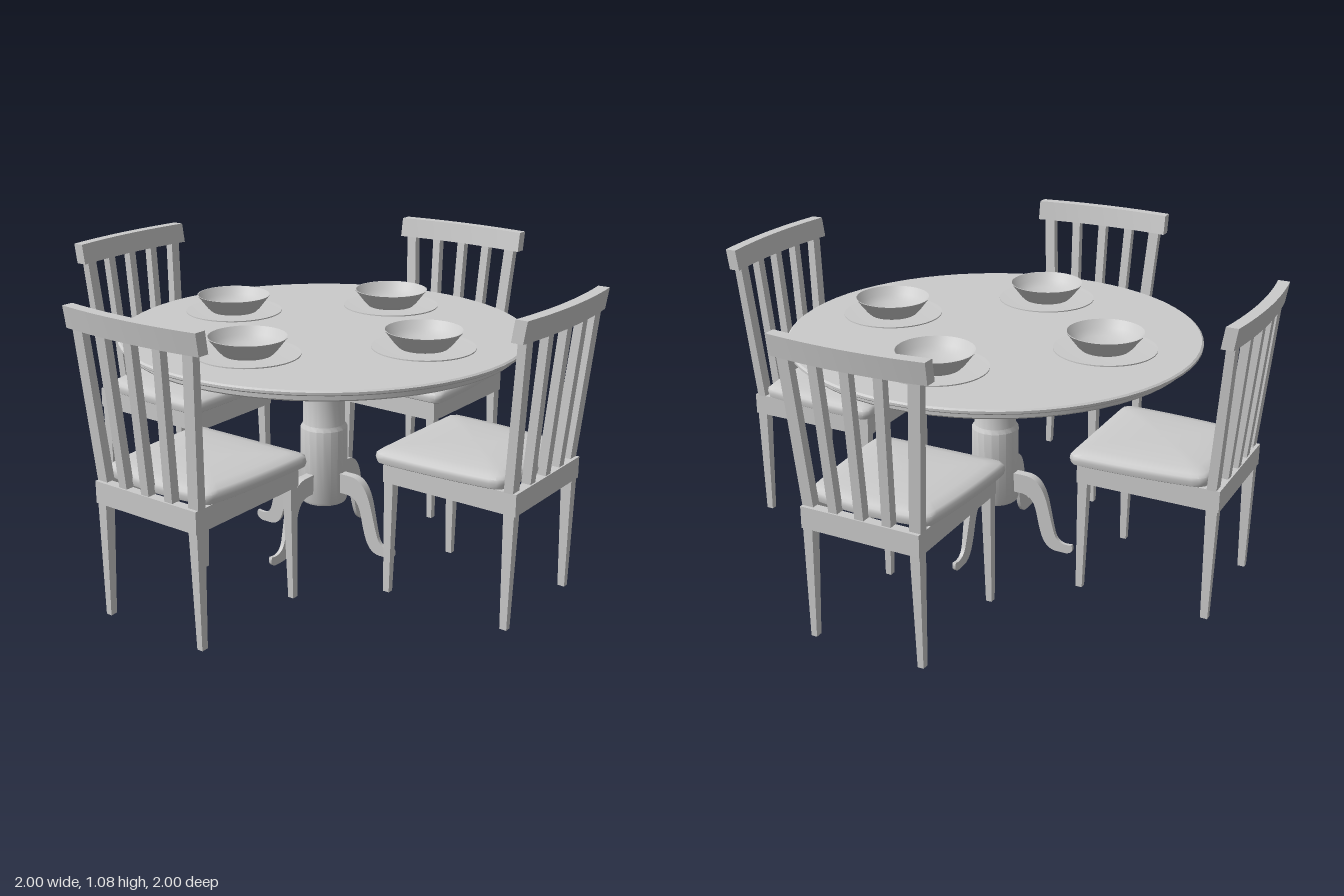
import * as THREE from 'three';
import { toCreasedNormals } from 'three/addons/utils/BufferGeometryUtils.js';

const material = new THREE.MeshStandardMaterial({ color: 0xcccccc });

function add(parent, name, geometry, x = 0, y = 0, z = 0) {
  const mesh = new THREE.Mesh(geometry, material);
  mesh.name = name;
  mesh.position.set(x, y, z);
  parent.add(mesh);
  return mesh;
}

function box(parent, name, w, h, d, x, y, z) {
  return add(parent, name, new THREE.BoxGeometry(w, h, d), x, y, z);
}

// Leaning, tapering bar between two centres; sizes are [width, depth].
function bar(parent, name, from, to, sizeFrom, sizeTo) {
  const geo = new THREE.BoxGeometry(1, 1, 1);
  const p = geo.attributes.position;
  for (let i = 0; i < p.count; i++) {
    const top = p.getY(i) > 0;
    const c = top ? to : from;
    const s = top ? sizeTo : sizeFrom;
    p.setXYZ(i, c[0] + p.getX(i) * s[0], c[1], c[2] + p.getZ(i) * s[1]);
  }
  geo.computeVertexNormals();
  return add(parent, name, geo);
}

function turned(profile, segments) {
  const points = profile.map(([r, y]) => new THREE.Vector2(r, y));
  return toCreasedNormals(new THREE.LatheGeometry(points, segments), 0.6);
}

// Padded seat: one outline stacked at several levels and scales.
function cushionGeometry() {
  const shape = new THREE.Shape();
  shape.moveTo(0, 0.404);
  shape.lineTo(0.225, 0.404);
  shape.quadraticCurveTo(0.256, 0.404, 0.256, 0.44);
  shape.quadraticCurveTo(0.255, 0.68, 0.229, 0.86);
  shape.quadraticCurveTo(0.226, 0.886, 0.2, 0.889);
  shape.quadraticCurveTo(0, 0.925, -0.2, 0.889);
  shape.quadraticCurveTo(-0.226, 0.886, -0.229, 0.86);
  shape.quadraticCurveTo(-0.255, 0.68, -0.256, 0.44);
  shape.quadraticCurveTo(-0.256, 0.404, -0.225, 0.404);
  shape.lineTo(0, 0.404);
  const n = 72, cz = 0.655;
  const outline = shape.getSpacedPoints(n).slice(0, n);
  const levels = [[0, 0.485], [0.95, 0.485], [0.985, 0.49], [1, 0.507],
    [0.99, 0.521], [0.95, 0.53], [0.8, 0.537], [0.55, 0.543], [0, 0.546]];
  const positions = [], index = [];
  levels.forEach(([s, y], k) => outline.forEach((p, j) => {
    positions.push(p.x * s, y, cz + (p.y - cz) * s);
    if (k === 0) return;
    const j2 = (j + 1) % n;
    const a = (k - 1) * n + j, b = (k - 1) * n + j2, c = k * n + j, d = k * n + j2;
    if (k > 1) index.push(a, c, b);
    if (k < levels.length - 1) index.push(b, c, d);
    // The first level is a single point, so its ring needs only the outer triangle.
  }));
  const geo = new THREE.BufferGeometry();
  geo.setAttribute('position', new THREE.Float32BufferAttribute(positions, 3));
  geo.setIndex(index);
  return toCreasedNormals(geo, 0.8);
}

// Curved top rail, leaning slightly back.
function railGeometry() {
  const shape = new THREE.Shape();
  shape.moveTo(-0.28, 0.932);
  shape.quadraticCurveTo(0, 0.974, 0.28, 0.932);
  shape.lineTo(0.28, 0.974);
  shape.quadraticCurveTo(0, 1.014, -0.28, 0.974);
  shape.closePath();
  const geo = new THREE.ExtrudeGeometry(shape, { depth: 0.075, bevelEnabled: false, curveSegments: 12 });
  geo.rotateX(Math.PI / 2).translate(0, 1.075, 0);
  const p = geo.attributes.position;
  for (let i = 0; i < p.count; i++) p.setZ(i, p.getZ(i) + (p.getY(i) - 1.0375) * 0.16);
  return toCreasedNormals(geo, 0.5);
}

function createChair(cushion, rail) {
  const chair = new THREE.Group();
  chair.name = 'chair';
  add(chair, 'seatCushion', cushion);
  add(chair, 'topRail', rail);

  // Seat frame
  box(chair, 'frontApron', 0.44, 0.077, 0.03, 0, 0.4485, 0.441);
  box(chair, 'backApron', 0.44, 0.077, 0.035, 0, 0.4485, 0.921);
  for (const s of [-1, 1]) {
    box(chair, 'sideApron', 0.03, 0.077, 0.47, s * 0.205, 0.4485, 0.68);
    bar(chair, 'frontLeg', [s * 0.206, 0, 0.443], [s * 0.2, 0.42, 0.447], [0.022, 0.024], [0.036, 0.036]);
    bar(chair, 'backLeg', [s * 0.206, 0, 0.911], [s * 0.2, 0.42, 0.913], [0.022, 0.026], [0.036, 0.04]);
  }

  // Fan of back slats
  for (let i = -2; i <= 2; i++) {
    const bow = 0.016 * (1 - (i * i) / 4);
    const w = Math.abs(i) === 2 ? 0.042 : 0.033;
    bar(chair, 'backSlat', [i * 0.099, 0.47, 0.908 + bow * 0.5], [i * 0.117, 1.01, 0.952 + bow],
      [w, 0.034], [w, 0.03]);
  }
  return chair;
}

// S-shaped pedestal foot, thinner towards the floor.
function footGeometry() {
  const shape = new THREE.Shape();
  shape.moveTo(0.07, 0.215);
  shape.lineTo(0.12, 0.215);
  shape.bezierCurveTo(0.185, 0.21, 0.175, 0.13, 0.195, 0.07);
  shape.bezierCurveTo(0.205, 0.03, 0.225, 0.003, 0.26, 0.003);
  shape.lineTo(0.3, 0.003);
  shape.bezierCurveTo(0.322, 0.006, 0.333, 0.022, 0.322, 0.042);
  shape.bezierCurveTo(0.3, 0.036, 0.265, 0.035, 0.252, 0.075);
  shape.bezierCurveTo(0.235, 0.13, 0.225, 0.2, 0.208, 0.235);
  shape.bezierCurveTo(0.19, 0.275, 0.165, 0.292, 0.13, 0.292);
  shape.lineTo(0.07, 0.292);
  shape.closePath();
  const geo = new THREE.ExtrudeGeometry(shape, { depth: 1, bevelEnabled: false, curveSegments: 8 });
  const p = geo.attributes.position;
  for (let i = 0; i < p.count; i++) {
    p.setZ(i, (p.getZ(i) - 0.5) * (0.01 + 0.08 * p.getY(i)));
  }
  return toCreasedNormals(geo, 0.6);
}

function createTable() {
  const table = new THREE.Group();
  table.name = 'table';
  add(table, 'tableTop', turned([[0, 0.785], [0.708, 0.785], [0.712, 0.79], [0.712, 0.812],
    [0.738, 0.812], [0.745, 0.817], [0.745, 0.825], [0.738, 0.83], [0, 0.83]], 64));
  add(table, 'pedestal', turned([[0, 0.17], [0.084, 0.17], [0.088, 0.18], [0.088, 0.46], [0.078, 0.475],
    [0.078, 0.645], [0.084, 0.652], [0.084, 0.7], [0.093, 0.715], [0.093, 0.787]], 20));

  const foot = footGeometry();
  const plate = turned([[0, 0.829], [0.15, 0.829], [0.182, 0.836], [0.182, 0.84], [0.13, 0.837], [0, 0.836]], 40);
  const bowl = turned([[0, 0.836], [0.085, 0.836], [0.1, 0.85], [0.139, 0.9], [0.135, 0.9],
    [0.115, 0.873], [0.09, 0.853], [0.05, 0.843], [0, 0.84]], 40);
  for (let i = 0; i < 4; i++) {
    const a = i * Math.PI / 2;
    add(table, 'pedestalFoot', foot).rotation.y = a;
    const x = 0.43 * Math.cos(a), z = 0.43 * Math.sin(a);
    add(table, 'plate', plate, x, 0, z);
    add(table, 'bowl', bowl, x, 0, z);
  }
  table.position.set(-0.002, 0, -0.014);
  return table;
}

export function createModel() {
  const model = new THREE.Group();
  model.name = 'diningSet';
  model.add(createTable());
  const cushion = cushionGeometry();
  const rail = railGeometry();
  for (let i = 0; i < 4; i++) {
    const chair = createChair(cushion, rail);
    chair.rotation.y = i * Math.PI / 2;
    model.add(chair);
  }
  return model;
}
